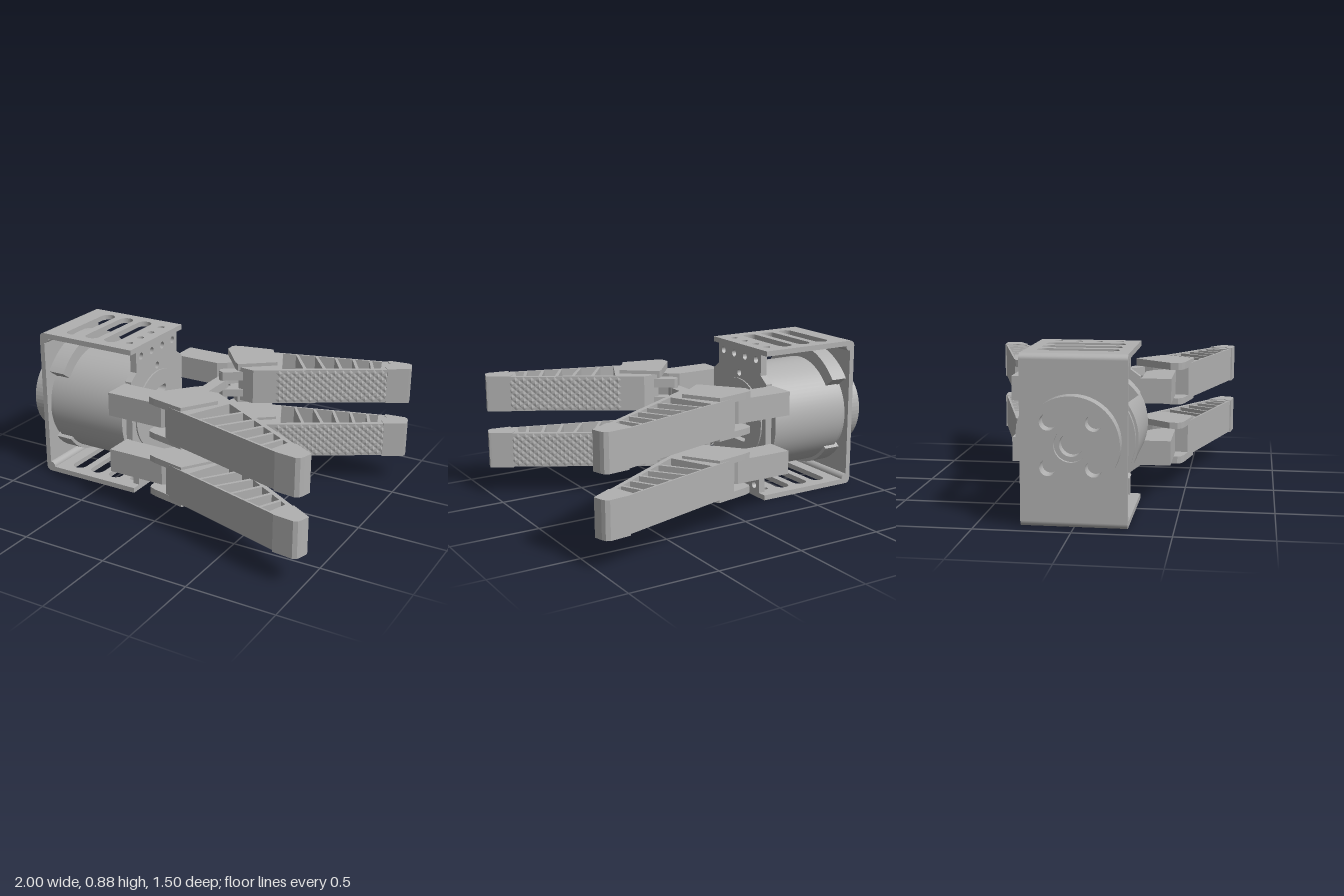
import * as THREE from 'three';
import { mergeGeometries } from 'three/addons/utils/BufferGeometryUtils.js';

const grey = new THREE.MeshStandardMaterial({ color: 0xb0b0b0 });
grey.name = 'machined grey';
const CY = 0.4425; // height of the main axis

function add(group, name, geometry) {
  const mesh = new THREE.Mesh(geometry, grey);
  mesh.name = name;
  group.add(mesh);
  return mesh;
}

function polygon(points, holes = []) {
  const v = points.map(([x, y]) => new THREE.Vector2(x, y));
  if (THREE.ShapeUtils.area(v) < 0) v.reverse();
  const shape = new THREE.Shape(v);
  shape.holes = holes;
  return shape;
}
const rect = (x0, x1, y0, y1, holes) => polygon([[x0, y0], [x1, y0], [x1, y1], [x0, y1]], holes);
const circle = (x, y, r) => new THREE.Path().absarc(x, y, r, 0, Math.PI * 2);

// Stadium outline; the half lengths include the round ends
function slot(x, y, hx, hy) {
  const p = new THREE.Path(), r = Math.min(hx, hy);
  if (hy > hx) {
    p.absarc(x, y + hy - r, r, 0, Math.PI);
    p.absarc(x, y - hy + r, r, Math.PI, Math.PI * 2);
  } else {
    p.absarc(x + hx - r, y, r, -Math.PI / 2, Math.PI / 2);
    p.absarc(x - hx + r, y, r, Math.PI / 2, Math.PI * 1.5);
  }
  return p;
}

// Shape in (x, -z) raised from y0 to y1
const plan = (shape, y0, y1) =>
  new THREE.ExtrudeGeometry(shape, { depth: y1 - y0, bevelEnabled: false, curveSegments: 16 })
    .rotateX(-Math.PI / 2).translate(0, y0, 0);
// Shape in (-z, y) pushed from x0 to x1
const along = (shape, x0, x1) =>
  new THREE.ExtrudeGeometry(shape, { depth: x1 - x0, bevelEnabled: false, curveSegments: 32 })
    .rotateY(Math.PI / 2).translate(x0, 0, 0);
const rod = (r, x0, x1, sides = 48) =>
  new THREE.CylinderGeometry(r, r, x1 - x0, sides).rotateZ(-Math.PI / 2).translate((x0 + x1) / 2, CY, 0);
const box = (x0, x1, y0, y1, z0, z1) =>
  new THREE.BoxGeometry(x1 - x0, y1 - y0, z1 - z0).translate((x0 + x1) / 2, (y0 + y1) / 2, (z0 + z1) / 2);

function buildFrame() {
  const g = new THREE.Group();
  g.name = 'frame';
  const across = [-0.165, -0.055, 0.055, 0.165];
  for (const [name, y0, y1] of [['topPlate', 0.85, 0.88], ['bottomPlate', 0.005, 0.035]]) {
    const holes = [-0.745, -0.615, -0.485].map(x => slot(x, 0, 0.043, 0.21));
    across.forEach(z => holes.push(circle(-0.365, z, 0.02)));
    add(g, name, plan(rect(-0.89, -0.29, -0.27, 0.27, holes), y0, y1));
  }
  add(g, 'backWall', box(-0.92, -0.89, 0.035, 0.85, -0.27, 0.27));
  for (const y of [0.85, 0.035])
    add(g, 'roundedCorner', new THREE.CylinderGeometry(0.03, 0.03, 0.54, 24).rotateX(Math.PI / 2).translate(-0.89, y, 0));

  // Front plate with bolt holes and round boss
  const slots = () => [0.555, 0.33].map(y => slot(0, y, 0.08, 0.022));
  const holes = [circle(0, 0.71, 0.02), circle(0, 0.17, 0.02), ...slots()];
  for (const z of across) holes.push(circle(z, 0.815, 0.02), circle(z, 0.07, 0.02));
  const w = 0.215, W = 0.27;
  add(g, 'frontPlate', along(polygon([[-w, 0.035], [w, 0.035], [w, 0.16], [W, 0.2], [W, 0.69], [w, 0.73],
    [w, 0.85], [-w, 0.85], [-w, 0.73], [-W, 0.69], [-W, 0.2], [-w, 0.16]], holes), -0.33, -0.29));
  const disc = new THREE.Shape().absarc(0, CY, 0.235, 0, Math.PI * 2);
  disc.holes = slots();
  add(g, 'frontBoss', along(disc, -0.29, -0.282));
  return g;
}

function buildMotor() {
  const g = new THREE.Group();
  g.name = 'motor';
  add(g, 'motorBody', rod(0.313, -0.81, -0.33, 80));
  add(g, 'motorEndCap', rod(0.3, -0.84, -0.81, 80));
  // Curved clamps hugging the rear end
  for (const [name, r, a] of [['upperClamp', 0.387, 0.63], ['lowerClamp', 0.333, Math.PI + 0.63]]) {
    const s = new THREE.Shape();
    s.absarc(0, CY, r, a, a + Math.PI - 1.26, false);
    s.absarc(0, CY, 0.3, a + Math.PI - 1.26, a, true);
    add(g, name, along(s, -0.83, -0.73));
  }
  // Rear hub with centre bore and four bolt recesses
  const hub = new THREE.Shape().absarc(0, CY, 0.242, 0, Math.PI * 2);
  hub.holes = [circle(0, CY, 0.085)];
  for (let i = 0; i < 4; i++) {
    const a = Math.PI / 4 + i * Math.PI / 2;
    hub.holes.push(circle(Math.cos(a) * 0.16, CY + Math.sin(a) * 0.16, 0.042));
  }
  add(g, 'rearHub', along(hub, -1, -0.92));
  const ring = new THREE.Shape().absarc(0, CY, 0.085, 0, Math.PI * 2);
  ring.holes = [circle(0, CY, 0.06)];
  add(g, 'boreRing', along(ring, -0.98, -0.92));
  return g;
}

function buildPusher() {
  const g = new THREE.Group();
  g.name = 'pusher';
  add(g, 'rodSleeve', rod(0.09, -0.29, -0.12));
  add(g, 'pushRod', rod(0.045, -0.12, 0.15));
  const c = 0.04, h = 0.088;
  add(g, 'crosshead', along(polygon([[-0.19, CY - h + c], [-0.15, CY - h], [0.15, CY - h], [0.19, CY - h + c],
    [0.19, CY + h - c], [0.15, CY + h], [-0.15, CY + h], [-0.19, CY + h - c]],
    [circle(-0.145, CY, 0.02), circle(0.145, CY, 0.02)]), 0, 0.07));
  for (const y of [0.28, 0.605]) add(g, 'crossBar', box(0, 0.07, y - 0.025, y + 0.025, -0.2, 0.2));
  add(g, 'retainerPlate', along(rect(-0.115, 0.115, CY - 0.07, CY + 0.07,
    [circle(-0.085, CY, 0.018), circle(0.085, CY, 0.018)]), 0.07, 0.145));
  add(g, 'lockNut', rod(0.058, 0.145, 0.165, 24));
  add(g, 'rodEnd', rod(0.04, 0.165, 0.18, 24));
  for (const z of [-0.175, 0.175])
    add(g, 'hingePin', new THREE.CylinderGeometry(0.025, 0.025, 0.47, 20).translate(0.05, CY, z));
  return g;
}

// One finger; side is +1 for the -z side, upper selects the top row
function buildFinger(side, upper) {
  const g = new THREE.Group();
  g.name = (upper ? 'upper' : 'lower') + (side > 0 ? 'Back' : 'Front') + 'Finger';
  const flip = pts => pts.map(([x, p]) => [x, p * side]);
  const slab = (name, pts, y0, y1, holes) =>
    add(g, name, plan(polygon(flip(pts), holes), upper ? y0 : 2 * CY - y1, upper ? y1 : 2 * CY - y0));

  // Fixed arm and clevis cheeks
  slab('fixedArm', [[-0.33, 0.26], [-0.29, 0.275], [-0.05, 0.275], [0, 0.31], [0.05, 0.37], [0.05, 0.41],
    [0.01, 0.437], [-0.33, 0.437]], 0.545, 0.68);
  const cheek = [[-0.05, 0.41], [0.1, 0.225], [0.13, 0.2], [0.31, 0.345], [0.19, 0.53], [0.0, 0.49], [-0.04, 0.475], [-0.05, 0.455]];
  slab('clevisCheek', cheek, 0.69, 0.73);
  slab('clevisCheek', cheek, 0.495, 0.53);
  for (const [y0, y1] of [[0.635, 0.685], [0.535, 0.58]])
    slab('link', [[0.03, 0.16], [0.06, 0.145], [0.2, 0.23], [0.18, 0.29], [0.04, 0.205], [0.025, 0.185]], y0, y1);

  // Ribbed finger: openings sit between slanted ribs
  const outer = [0.24, 0.33, 0.44, 0.55, 0.65, 0.745, 0.815];
  const inner = [0.35, 0.47, 0.565, 0.645, 0.725, 0.8, 0.85];
  const o = x => [x, 0.5 + 0.29 * (x - 0.1)], n = x => [x, 0.23 + 0.61 * (x - 0.23)], t = 0.008;
  const openings = [];
  for (let i = 0; i < 6; i++)
    openings.push(new THREE.Path(flip([o(outer[i] + t), n(inner[i] + t), n(inner[i + 1] - t), o(outer[i + 1] - t)])
      .map(([x, y]) => new THREE.Vector2(x, y))));
  slab('ribbedFinger', [[0.08, 0.505], [0.1, 0.3], [0.13, 0.21], [0.23, 0.2], [0.89, 0.603], [0.85, 0.73]], 0.51, 0.71, openings);
  slab('fingerTip', [[0.84, 0.735], [0.955, 0.748], [0.977, 0.737], [0.987, 0.715], [1, 0.667], [0.99, 0.66],
    [0.885, 0.596], [0.855, 0.63], [0.865, 0.69], [0.84, 0.712]], 0.507, 0.714);

  // Diamond grip studs on the inner face
  const d = new THREE.Vector3(0.854, 0, -0.521 * side), nrm = new THREE.Vector3(0.521, 0, 0.854 * side);
  const basis = new THREE.Matrix4().makeBasis(d, nrm, new THREE.Vector3().crossVectors(d, nrm));
  const stud = new THREE.ConeGeometry(1, 0.008, 4, 1, true).scale(0.022, 1, 0.02).applyMatrix4(basis);
  const studs = [];
  for (let i = 0; i < 28; i++)
    for (let j = 0; j < 5 - (i % 2); j++) {
      const s = 0.15 + i * 0.0225;
      const y = 0.53 + (j + (i % 2) * 0.5) * 0.04;
      studs.push(stud.clone().translate(0.23 + 0.854 * s + nrm.x * 0.003, upper ? y : 2 * CY - y,
        -(0.2 + 0.521 * s) * side + nrm.z * 0.003));
    }
  add(g, 'gripStuds', mergeGeometries(studs));
  return g;
}

export function createModel() {
  const model = new THREE.Group();
  model.name = 'roboticGripper';
  model.add(buildFrame(), buildMotor(), buildPusher());
  for (const side of [1, -1])
    for (const upper of [true, false]) model.add(buildFinger(side, upper));
  model.position.y = -0.005;
  return model;
}
